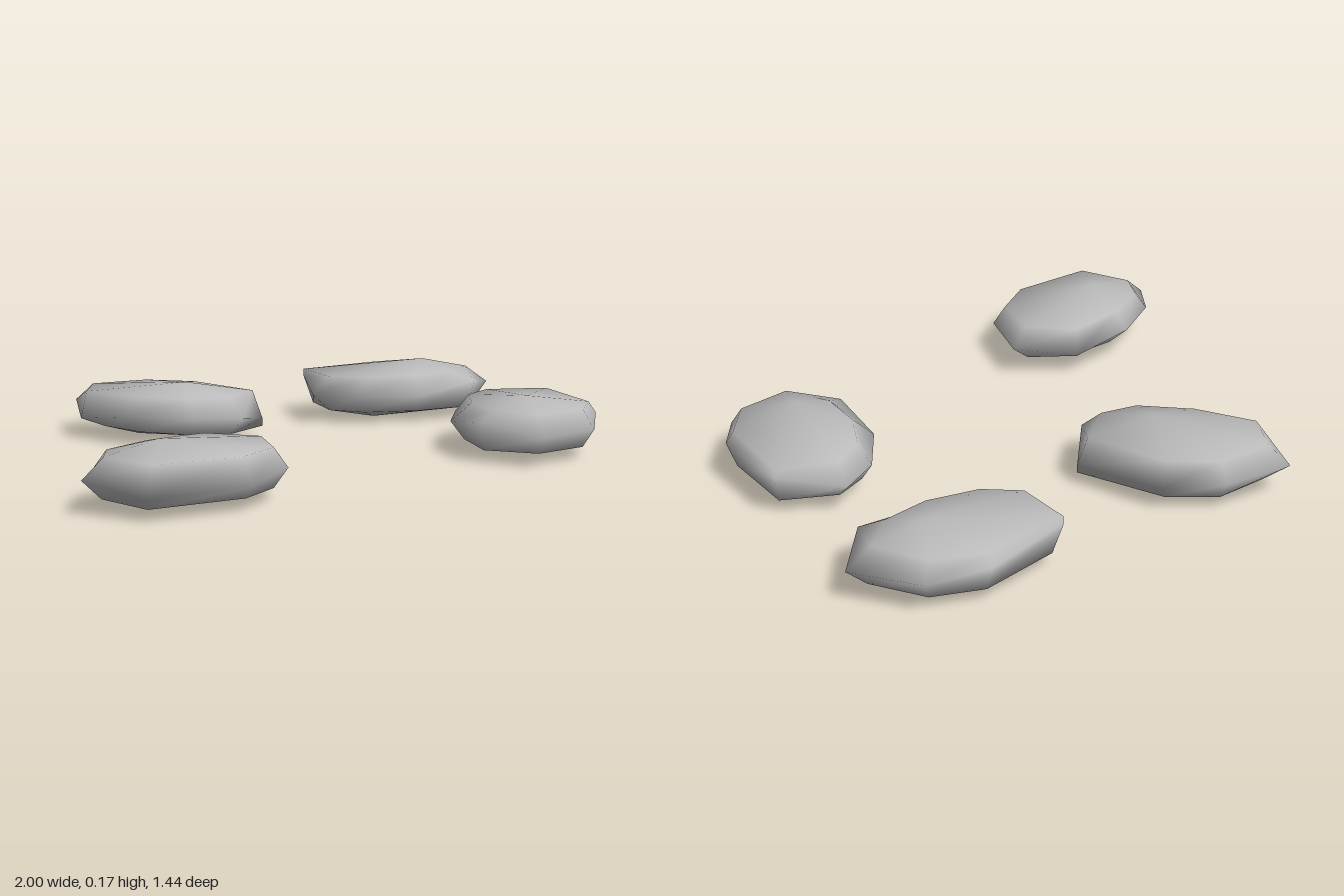
import * as THREE from 'three';

// Stone outline seen from above: x, z, height of the rim,
// then how far the upper and lower shoulders reach out towards the rim.
const RIM = [
  [-0.26, 0.13, -0.03, 0.9, 1.0],
  [-0.31, -0.06, 0, 0.8, 0.82],
  [-0.2, -0.15, 0, 0.85, 0.8],
  [-0.01, -0.2, 0, 0.8, 0.7],
  [0.19, -0.15, -0.027, 0.93, 0.7],
  [0.31, 0, 0, 0.8, 0.76],
  [0.18, 0.17, 0, 0.85, 0.85],
  [0.01, 0.215, -0.02, 0.87, 0.9],
];
const SHOULDER = 0.0525;
const PEAK = 0.084;

function stoneGeometry() {
  const n = RIM.length;
  const positions = [-0.09, PEAK, -0.02]; // off-centre peak
  for (const [x, z, , k] of RIM) positions.push(x * k, SHOULDER, z * k);
  for (const [x, z, y] of RIM) positions.push(x, y, z);
  for (const [x, z, , , k] of RIM) positions.push(x * k, -SHOULDER, z * k);
  positions.push(0.085, -PEAK, 0); // off-centre underside
  const last = 1 + 3 * n;

  const index = [];
  for (let i = 0; i < n; i++) {
    const j = (i + 1) % n;
    index.push(0, 1 + j, 1 + i);
    for (let r = 0; r < 2; r++) {
      const a = 1 + r * n;
      const b = a + n;
      index.push(a + i, a + j, b + j, a + i, b + j, b + i);
    }
    index.push(1 + 2 * n + i, 1 + 2 * n + j, last);
  }

  // Rounded pebble normals, so the shading rolls softly from peak to rim
  const normals = [];
  const v = new THREE.Vector3();
  for (let i = 0; i < positions.length; i += 3) {
    v.set(positions[i] / 0.62, positions[i + 1] / PEAK, positions[i + 2] / 0.4).normalize();
    normals.push(v.x, v.y, v.z);
  }

  const geometry = new THREE.BufferGeometry();
  geometry.setAttribute('position', new THREE.Float32BufferAttribute(positions, 3));
  geometry.setAttribute('normal', new THREE.Float32BufferAttribute(normals, 3));
  geometry.setIndex(index);
  return geometry;
}

export function createModel() {
  const group = new THREE.Group();
  group.name = 'steppingStones';

  const stone = new THREE.MeshStandardMaterial({ color: 0xbababa });
  stone.name = 'stone grey';
  const geometry = stoneGeometry();

  // One stone shape, turned about y; two are laid upside down
  const stones = [
    ['frontRightStone', -0.69, 0.363, 0, false],
    ['backMiddleStone', -0.08, -0.42, 105.7, false],
    ['backLeftStone', 0.712, -0.218, -22.2, true],
    ['frontLeftStone', 0.48, 0.471, -128.4, true],
  ];
  for (const [name, x, z, turn, flipped] of stones) {
    const mesh = new THREE.Mesh(geometry, stone);
    mesh.name = name;
    mesh.position.set(x, PEAK, z);
    mesh.rotation.set(flipped ? Math.PI : 0, THREE.MathUtils.degToRad(turn), 0, 'YXZ');
    group.add(mesh);
  }
  return group;
}
